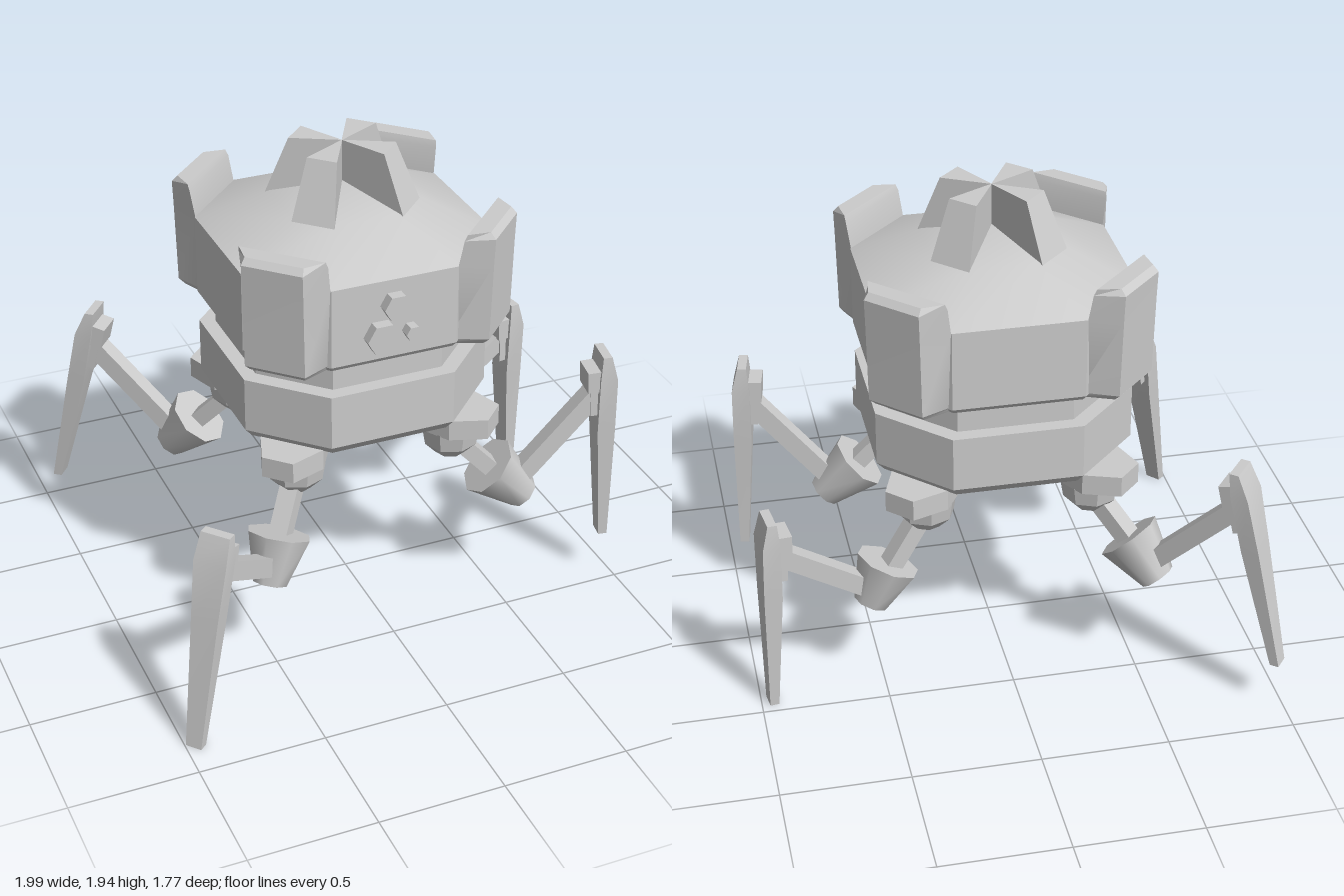
import * as THREE from 'three';
import { toCreasedNormals } from 'three/addons/utils/BufferGeometryUtils.js';

const material = new THREE.MeshStandardMaterial({ color: 0xcccccc });
const V = (x, y, z) => new THREE.Vector3(x, y, z);

function mesh(name, geometry, parent) {
  const m = new THREE.Mesh(geometry, material);
  m.name = name;
  parent.add(m);
  return m;
}

// Closed solid through stacked [y, loop] sections; loops of [x, z] run anticlockwise from above
function loft(sections) {
  const pos = [], n = sections[0][1].length;
  const put = (s, i) => pos.push(sections[s][1][i % n][0], sections[s][0], sections[s][1][i % n][1]);
  for (let s = 0; s < sections.length - 1; s++)
    for (let i = 0; i < n; i++) {
      put(s, i); put(s, i + 1); put(s + 1, i + 1);
      put(s, i); put(s + 1, i + 1); put(s + 1, i);
    }
  const top = sections.length - 1;
  for (let i = 1; i < n - 1; i++) {
    put(0, 0); put(0, i + 1); put(0, i);
    put(top, 0); put(top, i); put(top, i + 1);
  }
  const g = new THREE.BufferGeometry();
  g.setAttribute('position', new THREE.Float32BufferAttribute(pos, 3));
  return toCreasedNormals(g, 0.5);
}

// Square with cut corners, half width a
function octagon(a) {
  const c = a * 0.5;
  return [[a, c], [a, -c], [c, -a], [-c, -a], [-a, -c], [-a, c], [-c, a], [c, a]];
}
const octStack = rows => loft(rows.map(([y, a]) => [y, octagon(a)]));

// Trapezoid plan pointing along +x
const trapezoid = (inner, outer, wIn, wOut) =>
  [[outer, wOut], [outer, -wOut], [inner, -wIn], [inner, wIn]];

// Rectangular bar between two points
function bar(name, a, b, width, height, parent) {
  const m = mesh(name, new THREE.BoxGeometry(width, height, a.distanceTo(b)), parent);
  m.position.copy(a).lerp(b, 0.5);
  m.lookAt(b);
  return m;
}

function buildBody() {
  const body = new THREE.Group();
  body.name = 'body';
  body.position.x = -0.015;

  mesh('upperHull', octStack([[1.26, 0.49], [1.28, 0.505], [1.6, 0.505], [1.72, 0.25], [1.775, 0.005]]), body);
  mesh('neck', octStack([[1.13, 0.445], [1.27, 0.445]]), body);
  mesh('lowerRing', octStack([[0.89, 0.47], [0.93, 0.502], [1.15, 0.502]]), body);

  for (let k = 0; k < 4; k++) {
    const corner = new THREE.Group();
    corner.name = 'corner';
    corner.rotation.y = Math.PI / 4 + k * Math.PI / 2;
    body.add(corner);

    // Armour pillar standing above the roof
    mesh('cornerPillar', loft([
      [1.26, trapezoid(0.5, 0.62, 0.16, 0.11)],
      [1.285, trapezoid(0.5, 0.645, 0.175, 0.12)],
      [1.6, trapezoid(0.535, 0.653, 0.175, 0.12)],
      [1.705, trapezoid(0.555, 0.657, 0.175, 0.12)],
      [1.73, trapezoid(0.565, 0.635, 0.17, 0.115)],
    ]), corner);

    // Wedge fin on the roof with a sloped outer face
    mesh('roofFin', loft([
      [1.69, trapezoid(0, 0.29, 0.001, 0.089)],
      [1.94, trapezoid(0, 0.193, 0.001, 0.06)],
    ]), corner);

    // Wedge plate under the hull carrying the hip
    const plate = [[0.636, 0.064], [0.636, -0.064], [0.5, -0.13], [0, -0.002], [0, 0.002], [0.5, 0.13]];
    mesh('hipPlate', loft([[0.81, plate], [0.895, plate]]), corner);

    // Faceted half ball of the hip
    const ball = [[0, 0.685], [0.06, 0.685], [0.108, 0.735], [0.122, 0.815]].map(p => new THREE.Vector2(...p));
    mesh('hipBall', toCreasedNormals(new THREE.LatheGeometry(ball, 8), 0.5), corner).position.x = 0.46;
  }

  // Hexagonal studs on the front
  for (const [x, y, r] of [[-0.005, 1.5, 0.055], [-0.06, 1.38, 0.066], [0.06, 1.38, 0.032]]) {
    const stud = mesh('frontStud', toCreasedNormals(new THREE.CylinderGeometry(r, r, 0.08, 6), 0.5), body);
    stud.rotation.set(Math.PI / 2, Math.PI / 6, 0);
    stud.position.set(x, y, 0.51);
  }
  return body;
}

// Leg from hip through the elbow cup (rim to base), up to the knee and down to the foot
function buildLeg(name, { hip, rim, base, knee, foot }) {
  const leg = new THREE.Group();
  leg.name = name;
  const elbow = rim.clone().lerp(base, 0.65);
  bar('thigh', hip, elbow, 0.075, 0.065, leg);

  const axis = rim.clone().sub(base);
  const cup = mesh('elbowCup', toCreasedNormals(
    new THREE.CylinderGeometry(0.128, 0.07, axis.length(), 8), 0.9), leg);
  cup.position.copy(rim).lerp(base, 0.5);
  cup.quaternion.setFromUnitVectors(V(0, 1, 0), axis.clone().normalize());

  const joint = knee.clone().lerp(foot, 0.17);
  bar('shin', elbow, joint, 0.07, 0.075, leg);

  // Blade foot, its local +x facing outward along the shin
  const shank = new THREE.Group();
  shank.name = 'footBlade';
  shank.position.copy(foot);
  shank.rotation.y = Math.atan2(elbow.z - joint.z, joint.x - elbow.x);
  leg.add(shank);
  const top = knee.clone().sub(foot).applyAxisAngle(V(0, 1, 0), -shank.rotation.y);
  const section = ([f, inner, outer, w]) => {
    const x = top.x * f, z = top.z * f;
    return [top.y * f, [[x + outer, z + w], [x + outer, z - w], [x - inner, z - w], [x - inner, z + w]]];
  };
  mesh('blade', loft([
    [0, 0.018, 0.018, 0.033],
    [0.6, 0.036, 0.036, 0.055],
    [0.88, 0.03, 0.04, 0.068],
    [1, 0.018, 0.018, 0.06],
  ].map(section)), shank);

  // Stepped collar where the shin meets the blade
  for (const [f, dx, h, w] of [[0.8, 0.035, 0.2, 0.08], [0.87, 0.05, 0.09, 0.11]]) {
    const collar = mesh('kneeCollar', new THREE.BoxGeometry(0.055, h, w), shank);
    collar.position.set(top.x * f - dx, top.y * f, top.z * f);
    collar.rotation.z = -Math.atan2(top.x, top.y);
  }
  return leg;
}

export function createModel() {
  const model = new THREE.Group();
  model.name = 'walker';
  model.add(buildBody());

  const legs = {
    frontRightLeg: {
      hip: V(-0.34, 0.76, 0.325), rim: V(-0.46, 0.56, 0.44), base: V(-0.52, 0.38, 0.49),
      knee: V(-0.81, 0.85, 0.745), foot: V(-0.96, 0, 0.85),
    },
    backRightLeg: {
      hip: V(-0.34, 0.76, -0.325), rim: V(-0.47, 0.59, -0.44), base: V(-0.57, 0.44, -0.53),
      knee: V(-0.81, 1.03, -0.72), foot: V(-0.97, 0.2, -0.85),
    },
    frontLeftLeg: {
      hip: V(0.31, 0.76, 0.325), rim: V(0.47, 0.58, 0.345), base: V(0.62, 0.43, 0.37),
      knee: V(0.92, 1.05, 0.425), foot: V(0.955, 0.2, 0.435),
    },
    backLeftLeg: {
      hip: V(0.31, 0.76, -0.325), rim: V(0.47, 0.54, -0.355), base: V(0.545, 0.375, -0.375),
      knee: V(0.93, 0.85, -0.425), foot: V(0.955, 0, -0.43),
    },
  };
  for (const [name, points] of Object.entries(legs)) model.add(buildLeg(name, points));
  return model;
}
